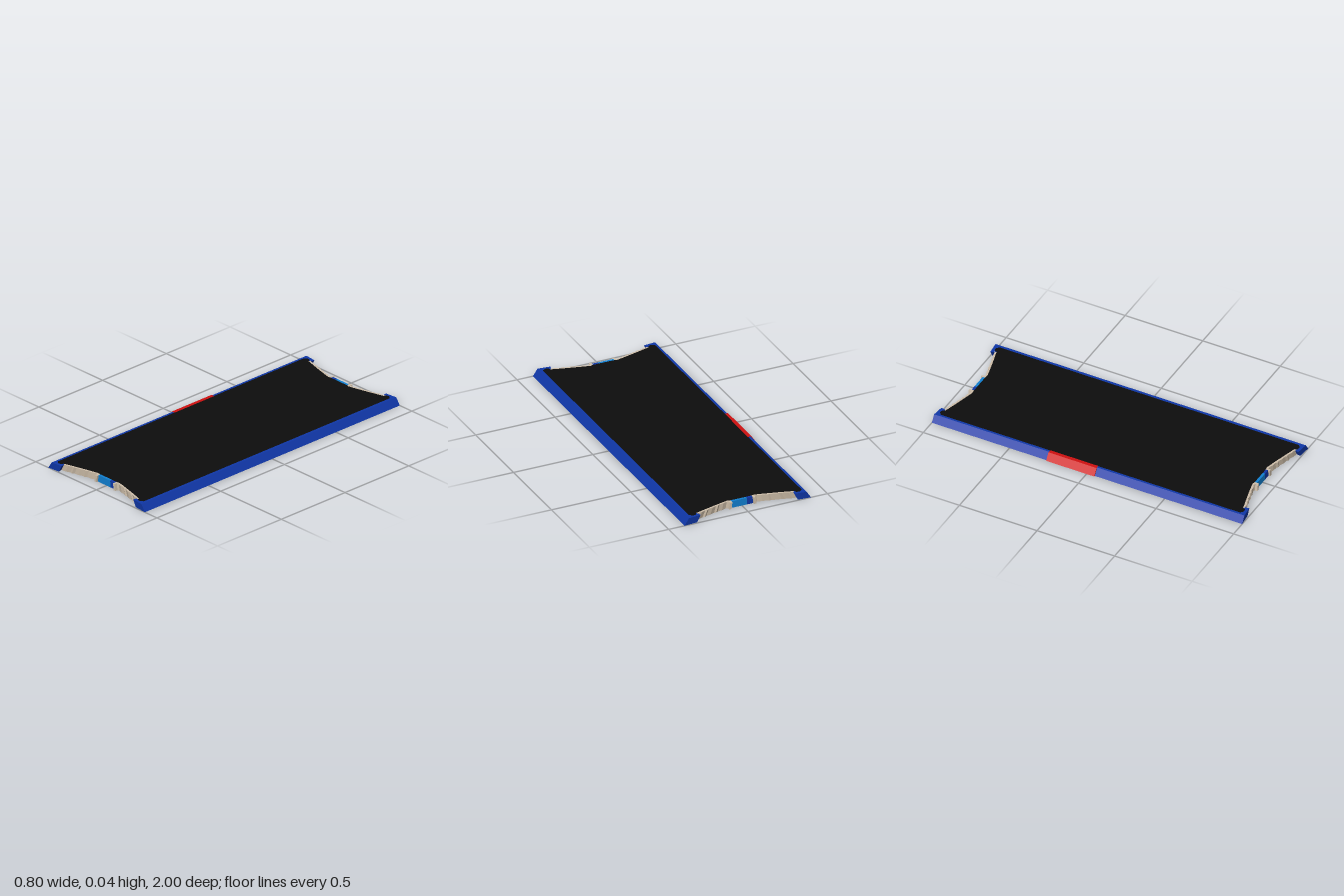
import * as THREE from 'three';

const H = 0.042;      // slab thickness
const TAPER = 0.93;   // top width relative to bottom width

const mat = (name, color) => {
  const m = new THREE.MeshStandardMaterial({ color });
  m.name = name;
  return m;
};

// Upright prism from a plan outline [x, z] given at the top; it widens in x towards the base
function prism(name, points, material) {
  const shape = new THREE.Shape(points.map(([x, z]) => new THREE.Vector2(x, -z)));
  const geo = new THREE.ExtrudeGeometry(shape, { depth: H, bevelEnabled: false });
  geo.rotateX(-Math.PI / 2);
  const p = geo.attributes.position;
  for (let i = 0; i < p.count; i++) {
    p.setX(i, p.getX(i) * THREE.MathUtils.lerp(1 / TAPER, 1, p.getY(i) / H));
  }
  geo.computeVertexNormals();
  const mesh = new THREE.Mesh(geo, material);
  mesh.name = name;
  return mesh;
}

const rect = (x0, x1, z0, z1) => [[x0, z0], [x1, z0], [x1, z1], [x0, z1]];

// Concave end line of the panel
const endZ = (x) => {
  const a = Math.abs(x);
  return a < 0.08 ? 0.905 : 0.9 + 0.06 * Math.pow((a - 0.08) / 0.23, 1.1);
};

export function createModel() {
  const black = mat('panel black', 0x0d0d0d);
  const blue = mat('frame blue', 0x0f37a8);
  const sky = mat('bright blue', 0x1080d2);
  const red = mat('button red', 0xd01010);
  const beige = mat('trim beige', 0xcfbfaa);

  const model = new THREE.Group();
  model.name = 'panel';

  // Dark panel with concave ends and rounded corner ears
  const frontEdge = [[0.355, 0.965], [0.335, 0.98], [0.315, 0.975]];
  for (let i = 0; i <= 20; i++) {
    const x = 0.31 - i * 0.031;
    frontEdge.push([x, endZ(x)]);
  }
  frontEdge.push([-0.315, 0.975], [-0.335, 0.98], [-0.355, 0.965]);
  const backEdge = frontEdge.map(([x, z]) => [-x, -z]);
  model.add(prism('darkPanel', [...frontEdge, ...backEdge], black));

  // Side rails, with the red insert on one side
  model.add(prism('leftRail', rect(0.355, 0.372, -0.9, 0.9), blue));
  model.add(prism('rightRailBack', rect(-0.369, -0.355, -0.9, -0.26), blue));
  model.add(prism('rightRailFront', rect(-0.369, -0.355, 0.05, 0.9), blue));
  model.add(prism('redInsert', rect(-0.375, -0.353, -0.26, 0.05), red));

  // Hooked corners
  const hook = [[0.372, 1], [0.295, 0.992], [0.3, 0.968], [0.31, 0.96], [0.315, 0.975],
    [0.335, 0.98], [0.355, 0.965], [0.355, 0.9], [0.372, 0.9]];
  for (const sx of [-1, 1]) for (const sz of [-1, 1]) {
    model.add(prism('cornerHook', hook.map(([x, z]) => [
      sx * (sx < 0 && x === 0.372 ? 0.369 : x), sz * z]), blue));
  }

  // End trims: ribbed beige strips around a blue centre, the second turned half round
  for (const turn of [0, Math.PI]) {
    const end = new THREE.Group();
    end.name = turn ? 'backTrim' : 'frontTrim';
    for (const s of [-1, 1]) {
      const inner = [], outer = [];
      for (let i = 0; i <= 18; i++) {
        const x = 0.08 + 0.23 * i / 18;
        inner.push([s * x, endZ(x)]);
        outer.push([s * x, endZ(x) + 0.012 + (i % 3 === 0 ? 0.004 : 0) - (i % 2) * 0.002]);
      }
      end.add(prism('ribbedStrip', [...inner, ...outer.reverse()], beige));
      end.add(prism('stripEndBlock', rect(s * 0.066, s * 0.08, 0.903, 0.932), beige));
    }
    end.add(prism('centreBar', rect(-0.066, 0.03, 0.904, 0.92), sky));
    end.add(prism('centreBarTip', rect(0.03, 0.066, 0.904, 0.92), blue));
    end.rotation.y = turn;
    model.add(end);
  }
  return model;
}
